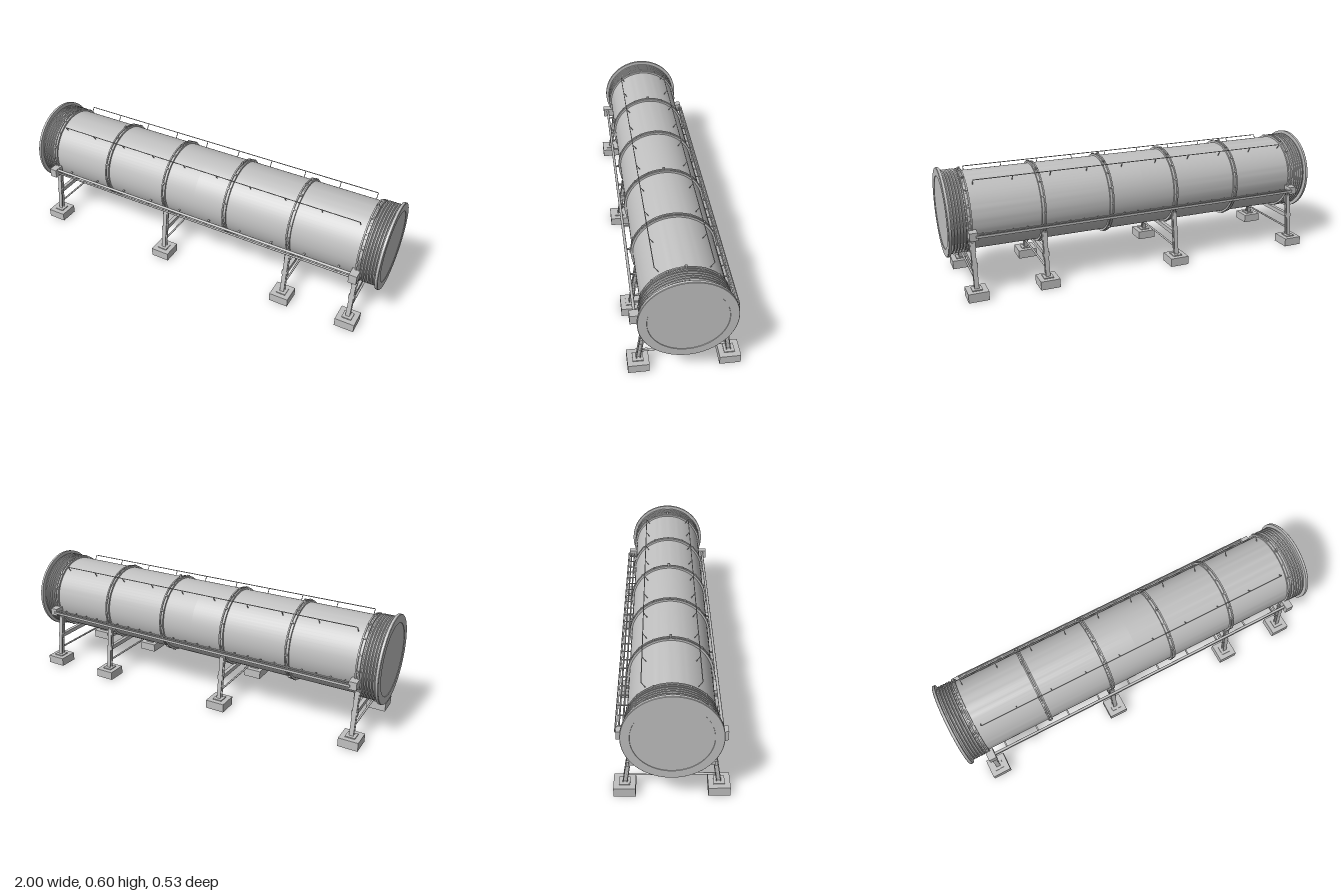
import * as THREE from 'three';
import { toCreasedNormals } from 'three/addons/utils/BufferGeometryUtils.js';

const steel = new THREE.MeshStandardMaterial({ color: 0xc0c0c0 });
steel.name = 'grey steel';
const AXIS_Y = 0.38; // height of the pipe axis

function add(parent, name, geometry, x = 0, y = 0, z = 0) {
  const mesh = new THREE.Mesh(geometry, steel);
  mesh.name = name;
  mesh.position.set(x, y, z);
  parent.add(mesh);
  return mesh;
}
const box = (parent, name, w, h, d, x, y, z) =>
  add(parent, name, new THREE.BoxGeometry(w, h, d), x, y, z);

// Straight round bar between two points
function rod(parent, name, a, b, r, sides = 10) {
  const from = new THREE.Vector3(...a), to = new THREE.Vector3(...b);
  const dir = to.clone().sub(from);
  const mesh = add(parent, name, new THREE.CylinderGeometry(r, r, dir.length(), sides));
  mesh.position.copy(from).add(to).multiplyScalar(0.5);
  mesh.quaternion.setFromUnitVectors(new THREE.Vector3(0, 1, 0), dir.normalize());
  return mesh;
}

// Solid of revolution along x from [x, radius] pairs running towards +x
function turned(parent, name, profile) {
  const points = profile.map(([x, r]) => new THREE.Vector2(r, x));
  const geometry = new THREE.LatheGeometry(points, 72).rotateZ(-Math.PI / 2);
  return add(parent, name, toCreasedNormals(geometry, 0.5), 0, AXIS_Y, 0);
}

// Shell with bellows, end flanges and shallow recessed end plates
function buildPipe(group) {
  const half = [[0, 0.195], [0.908, 0.195], [0.908, 0.2]];
  for (let i = 0; i < 5; i++) {
    const x = 0.912 + i * 0.014;
    half.push([x, 0.199], [x + 0.003, 0.207], [x + 0.009, 0.207], [x + 0.012, 0.199]);
  }
  half.push([0.986, 0.199], [0.986, 0.221], [0.998, 0.221], [1, 0.219],
    [1, 0.18], [0.998, 0.179], [0.998, 0]);
  const mirrored = half.slice(1).reverse().map(([x, r]) => [-x, r]);
  turned(group, 'pipeShell', [...mirrored, ...half]);
}

// Stiffening ring with a middle groove and bolt lugs around it
function buildBand(group, x, tall) {
  const band = new THREE.Group();
  band.name = 'stiffeningRing';
  turned(band, 'ringBody', [[x - 0.011, 0.19], [x - 0.011, 0.205], [x - 0.004, 0.205],
    [x - 0.003, 0.2], [x + 0.003, 0.2], [x + 0.004, 0.205], [x + 0.011, 0.205], [x + 0.011, 0.19]]);
  for (let i = 0; i < 16; i++) {
    const a = (i / 16) * Math.PI * 2;
    const lug = box(band, 'ringLug', 0.015, 0.014, 0.008,
      x, AXIS_Y + Math.cos(a) * 0.202, Math.sin(a) * 0.202);
    lug.rotation.x = a;
  }
  if (tall) box(band, 'liftingLug', 0.008, 0.025, 0.012, x, AXIS_Y + 0.207, 0);
  group.add(band);
}

// Splayed I-beam legs, footings, and cross members
function buildSupport(group, x) {
  const support = new THREE.Group();
  support.name = 'support';
  support.position.x = x;
  for (const side of [1, -1]) {
    box(support, 'footing', 0.1, 0.045, 0.1, 0, 0.0225, side * 0.213);
    box(support, 'basePlate', 0.05, 0.005, 0.05, 0, 0.0475, side * 0.213);
    const leg = new THREE.Group();
    leg.name = 'leg';
    leg.position.set(0, 0.16, side * 0.195);
    leg.rotation.x = -side * 0.145;
    box(leg, 'legWeb', 0.006, 0.225, 0.014, 0, 0, 0);
    for (const f of [1, -1]) box(leg, 'legFlange', 0.022, 0.225, 0.004, 0, 0, f * 0.009);
    box(leg, 'legHead', 0.03, 0.05, 0.01, 0, 0.092, 0);
    group.add(support);
    support.add(leg);
    box(support, 'beamBracket', 0.032, 0.024, 0.012, 0, 0.161, side * 0.197);
  }
  box(support, 'crossBeam', 0.02, 0.022, 0.4, 0, 0.161, 0);
  rod(support, 'lowerBrace', [0, 0.088, -0.203], [0, 0.088, 0.203], 0.005);
}

// Thin rail held above the shell on bent standoffs
function buildTopRail(group, side) {
  const rail = new THREE.Group();
  rail.name = 'topRail';
  const y = 0.565, z = side * 0.13;
  rod(rail, 'railWire', [-0.855, y, z], [0.855, y, z], 0.0022, 6);
  for (let i = 0; i < 10; i++) {
    const x = -0.855 + i * 0.19;
    rod(rail, 'railStandoff', [x, y, z], [x, AXIS_Y + 0.155, side * 0.109], 0.002, 6);
  }
  group.add(rail);
}

// Conduits on the front, ladder tray on the back, each ending in boxes
function buildSideRuns(group) {
  for (const x of [-0.89, 0.89]) {
    box(group, 'frontJunctionBox', 0.04, 0.048, 0.056, x, 0.315, 0.218);
    box(group, 'backJunctionBox', 0.04, 0.04, 0.053, x, 0.322, -0.2165);
  }
  rod(group, 'upperConduit', [-0.89, 0.328, 0.222], [0.89, 0.328, 0.222], 0.007);
  rod(group, 'lowerConduit', [-0.89, 0.307, 0.222], [0.89, 0.307, 0.222], 0.005);
  for (let i = 0; i < 10; i++)
    box(group, 'conduitBracket', 0.008, 0.006, 0.04, -0.8 + i * 0.178, 0.318, 0.207);

  for (const z of [-0.214, -0.232])
    rod(group, 'trayRail', [-0.88, 0.322, z], [0.88, 0.322, z], 0.004);
  box(group, 'trayLip', 1.76, 0.012, 0.003, 0, 0.323, -0.249);
  box(group, 'trayLedge', 1.76, 0.003, 0.008, 0, 0.317, -0.245);
  for (let i = 0; i < 24; i++)
    box(group, 'trayRung', 0.006, 0.004, 0.056, -0.84 + i * 0.073, 0.318, -0.22);
}

export function createModel() {
  const group = new THREE.Group();
  group.name = 'supportedPipe';
  buildPipe(group);
  [-0.895, -0.54, -0.18, 0.18, 0.535, 0.895].forEach((x, i) => buildBand(group, x, i % 2 === 1));
  for (const x of [-0.9, -0.18, 0.535, 0.89]) buildSupport(group, x);
  for (const side of [1, -1]) buildTopRail(group, side);
  buildSideRuns(group);
  return group;
}
